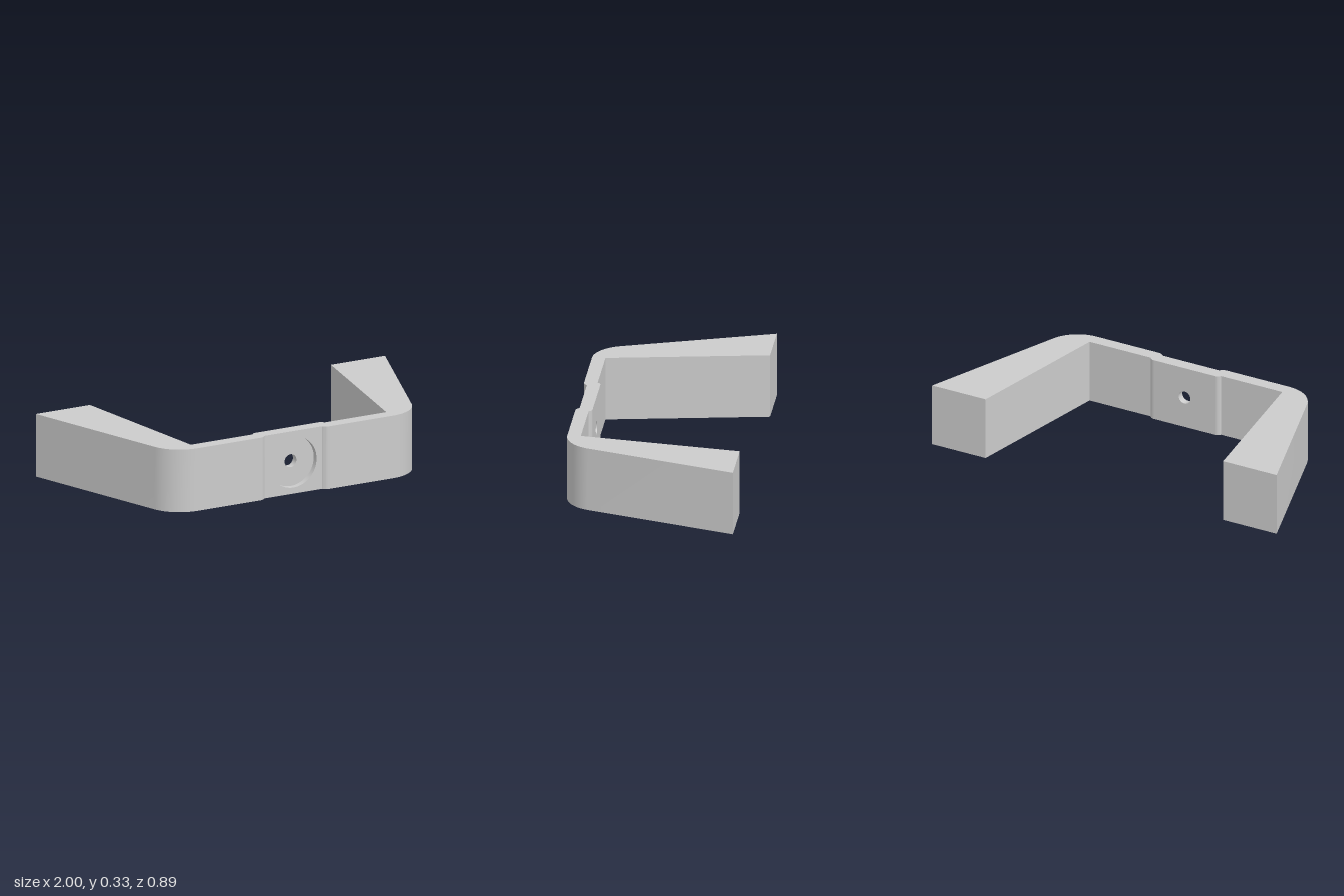
import * as THREE from 'three';
import { toCreasedNormals } from 'three/addons/utils/BufferGeometryUtils.js';

const H = 0.33;            // height of the band
const FRONT = 0.443, BACK = -0.443;
const SEAT = 0.425;        // front of the recessed mounting pad
const PAD = 0.358;         // rear of the mounting pad
const FLOOR = 0.395;       // floor of the counterbore
const BORE = 0.133, HOLE = 0.034;
const SEGS = 64;

const material = new THREE.MeshStandardMaterial({ color: 0xcccccc });

// Left half of the outline, as (x, z), from the front of the pad round to its rear
function halfOutline() {
  const r = 0.187, tilt = Math.atan2(0.333, 0.943);
  const path = new THREE.Path();
  path.moveTo(0.165, SEAT);
  path.quadraticCurveTo(0.18, FRONT, 0.2, FRONT);
  path.lineTo(0.56, FRONT);
  path.absarc(0.56, FRONT - r, r, Math.PI / 2, tilt, true);
  path.lineTo(1, BACK);
  path.lineTo(0.69, BACK);
  path.lineTo(0.56, 0.375);
  path.lineTo(0.205, 0.375);
  path.quadraticCurveTo(0.197, PAD, 0.178, PAD);
  return path.getPoints(12);
}

// Upright wall following a list of (x, z) points
function wall(points) {
  const pos = [];
  for (let i = 0; i < points.length - 1; i++) {
    const a = points[i], b = points[i + 1];
    pos.push(a.x, 0, a.y, b.x, 0, b.y, b.x, H, b.y);
    pos.push(a.x, 0, a.y, b.x, H, b.y, a.x, H, a.y);
  }
  const g = new THREE.BufferGeometry();
  g.setAttribute('position', new THREE.Float32BufferAttribute(pos, 3));
  return toCreasedNormals(g, 0.45);
}

// Flat pad face with a round hole, centred on the band
function holedFace(halfWidth, radius) {
  const s = new THREE.Shape();
  s.moveTo(-halfWidth, -H / 2);
  s.lineTo(halfWidth, -H / 2);
  s.lineTo(halfWidth, H / 2);
  s.lineTo(-halfWidth, H / 2);
  s.closePath();
  s.holes.push(new THREE.Path().absarc(0, 0, radius, 0, Math.PI * 2, true));
  return new THREE.ShapeGeometry(s, SEGS / 2);
}

// Inward-facing round wall between two depths
function boreWall(radius, z0, z1) {
  const g = new THREE.CylinderGeometry(radius, radius, z1 - z0, SEGS, 1, true);
  g.rotateX(Math.PI / 2);
  g.translate(0, 0, (z0 + z1) / 2);
  return g;
}

export function createModel() {
  const model = new THREE.Group();
  model.name = 'bracket';
  const add = (name, geometry, y = 0, z = 0, mat = material) => {
    const mesh = new THREE.Mesh(geometry, mat);
    mesh.name = name;
    mesh.position.set(0, y, z);
    model.add(mesh);
    return mesh;
  };

  const left = halfOutline();
  const right = left.map(p => new THREE.Vector2(-p.x, p.y)).reverse();
  const outline = [...left, ...right];

  // Arms and band: side walls, then the top and bottom faces
  add('leftArmWall', wall(left));
  add('rightArmWall', wall(right));
  const top = new THREE.Shape(outline.map(p => new THREE.Vector2(p.x, -p.y)));
  add('topFace', new THREE.ShapeGeometry(top).rotateX(-Math.PI / 2), H);
  add('bottomFace', new THREE.ShapeGeometry(new THREE.Shape(outline)).rotateX(Math.PI / 2));

  // Mounting pad, front and rear
  add('padFront', holedFace(0.165, BORE), H / 2, SEAT);
  add('padRear', holedFace(0.178, HOLE).rotateY(Math.PI), H / 2, PAD);

  // Counterbore and screw hole
  const inside = material.clone();
  inside.side = THREE.DoubleSide;
  add('counterboreWall', boreWall(BORE, FLOOR, SEAT), H / 2, 0, inside);
  add('counterboreFloor', new THREE.RingGeometry(HOLE, BORE, SEGS), H / 2, FLOOR);
  add('screwHoleWall', boreWall(HOLE, PAD, FLOOR), H / 2, 0, inside);

  return model;
}
